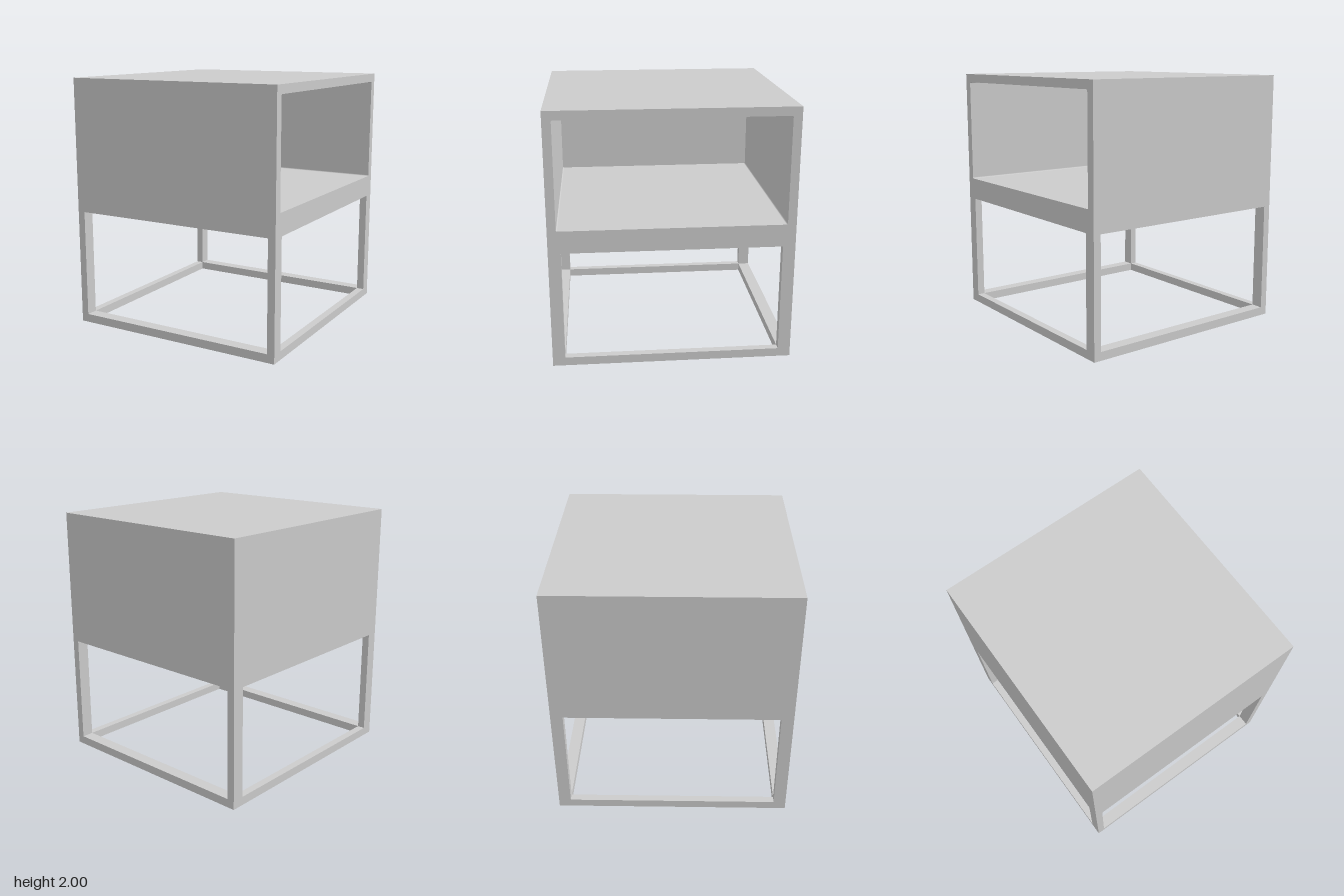
import * as THREE from 'three';

const X = 0.893, Z = 0.93;          // half width and half depth
const BAR_X = 0.06, BAR_Z = 0.096;  // bar section
const BAR_Y = 0.067, BOX_Y = 0.93, TOP = 2;
const WALL = 0.06;

export function createModel() {
  const group = new THREE.Group();
  const material = new THREE.MeshStandardMaterial({ color: 0xcccccc });

  const add = (name, geometry, x = 0, y = 0, z = 0) => {
    const mesh = new THREE.Mesh(geometry, material);
    mesh.name = name;
    mesh.position.set(x, y, z);
    group.add(mesh);
    return mesh;
  };

  const rect = (path, x0, y0, x1, y1, r = 0) => {
    path.moveTo(x0 + r, y0).lineTo(x1 - r, y0);
    if (r) path.absarc(x1 - r, y0 + r, r, -Math.PI / 2, 0);
    path.lineTo(x1, y1 - r);
    if (r) path.absarc(x1 - r, y1 - r, r, 0, Math.PI / 2);
    path.lineTo(x0 + r, y1);
    if (r) path.absarc(x0 + r, y1 - r, r, Math.PI / 2, Math.PI);
    path.lineTo(x0, y0 + r);
    if (r) path.absarc(x0 + r, y0 + r, r, Math.PI, Math.PI * 1.5);
    path.closePath();
    return path;
  };

  // Compartment: a sleeve along x, open on the left (+x) side
  const sleeve = rect(new THREE.Shape(), -Z, BOX_Y, Z, TOP);
  sleeve.holes.push(rect(new THREE.Path(), -0.863, 1.105, 0.863, 1.932, 0.01));
  const sleeveGeometry = new THREE.ExtrudeGeometry(sleeve, {
    depth: 2 * X - WALL, bevelEnabled: false, curveSegments: 4,
  }).rotateY(Math.PI / 2);
  add('compartment', sleeveGeometry, -X + WALL);

  // Closed end of the compartment
  add('endPanel', new THREE.BoxGeometry(WALL, TOP - BOX_Y, 2 * Z),
    -X + WALL / 2, (TOP + BOX_Y) / 2);

  // Base frame lying on the ground
  const base = rect(new THREE.Shape(), -X, -Z, X, Z);
  base.holes.push(rect(new THREE.Path(), -X + BAR_X, -Z + BAR_Z, X - BAR_X, Z - BAR_Z));
  add('baseFrame', new THREE.ExtrudeGeometry(base, { depth: BAR_Y, bevelEnabled: false })
    .rotateX(-Math.PI / 2));

  // Corner legs between base frame and compartment
  const legGeometry = new THREE.BoxGeometry(BAR_X, BOX_Y - BAR_Y, BAR_Z);
  for (const sx of [1, -1]) {
    for (const sz of [1, -1]) {
      add(`${sz > 0 ? 'front' : 'back'}${sx > 0 ? 'Left' : 'Right'}Leg`, legGeometry,
        sx * (X - BAR_X / 2), (BOX_Y + BAR_Y) / 2, sz * (Z - BAR_Z / 2));
    }
  }
  return group;
}
